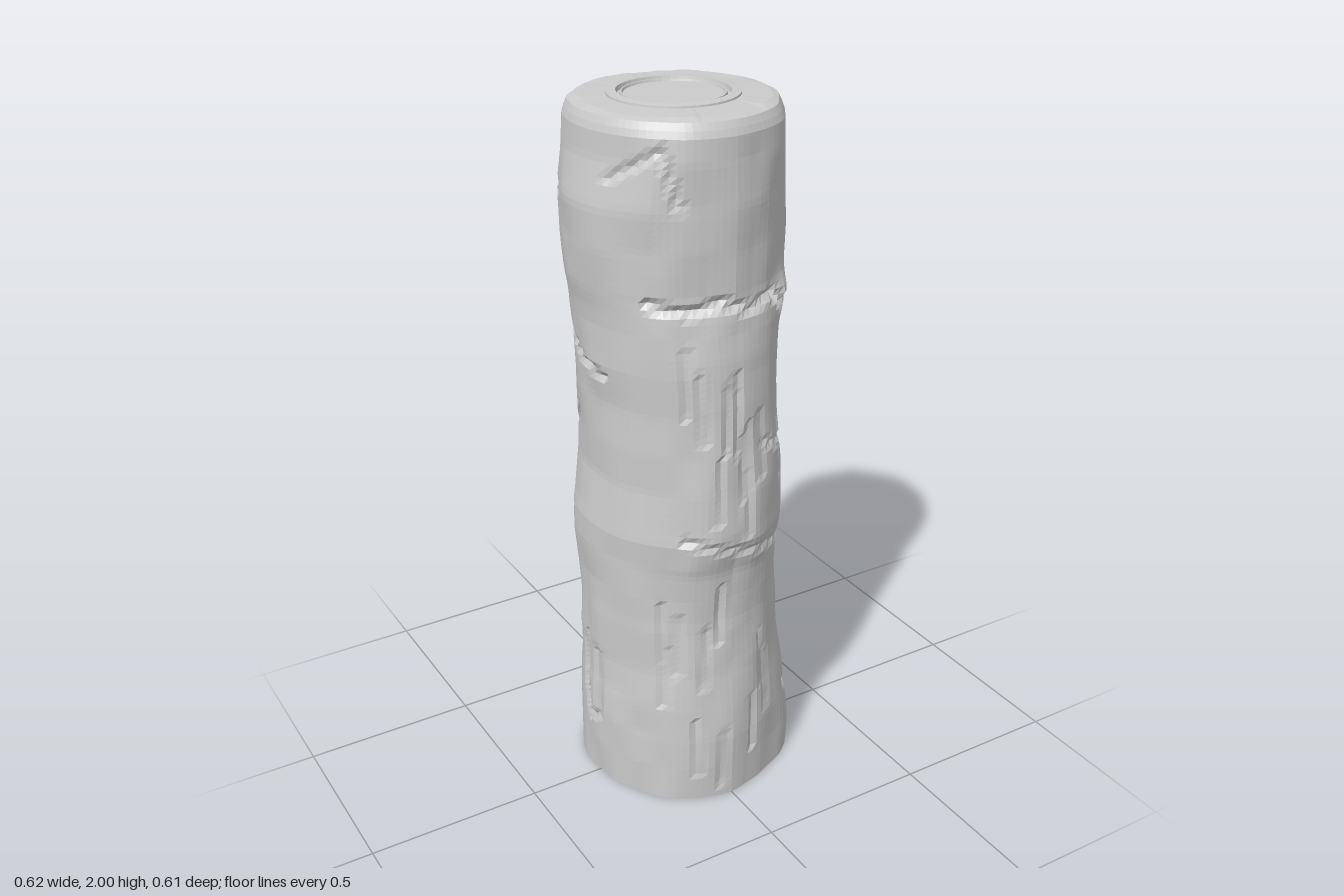
import * as THREE from 'three';

const SEG = 96, ROWS = 110, CZ = -0.033, TOP = 1.985;
const DEG = Math.PI / 180;
const grey = { color: 0xcccccc };

// Silhouette heights and the reach of the trunk to each side: [y, left, right, front, back]
const PROFILE = [
  [0.00, 0.305, 0.285, 0.290, 0.303], [0.20, 0.302, 0.285, 0.292, 0.303],
  [0.30, 0.300, 0.284, 0.287, 0.303], [0.42, 0.292, 0.275, 0.279, 0.303],
  [0.60, 0.281, 0.279, 0.275, 0.303], [0.75, 0.276, 0.287, 0.284, 0.303],
  [0.85, 0.274, 0.288, 0.308, 0.303], [1.00, 0.274, 0.267, 0.305, 0.303],
  [1.18, 0.256, 0.270, 0.300, 0.300], [1.25, 0.254, 0.272, 0.299, 0.284],
  [1.38, 0.259, 0.280, 0.292, 0.280], [1.49, 0.273, 0.288, 0.278, 0.288],
  [1.54, 0.283, 0.296, 0.264, 0.296], [1.65, 0.293, 0.306, 0.266, 0.300],
  [1.76, 0.290, 0.308, 0.270, 0.304], [1.88, 0.285, 0.290, 0.270, 0.306],
  [1.95, 0.283, 0.286, 0.266, 0.306], [2.00, 0.278, 0.284, 0.258, 0.305],
];

function reach(y) {
  let k = 0;
  while (k < PROFILE.length - 2 && PROFILE[k + 1][0] < y) k++;
  const a = PROFILE[k], b = PROFILE[k + 1];
  const t = THREE.MathUtils.clamp((y - a[0]) / (b[0] - a[0]), 0, 1);
  return a.map((v, i) => v + (b[i] - v) * t);
}

function hash(a, b, s) {
  const n = Math.sin(a * 127.1 + b * 311.7 + s * 74.7) * 43758.5453;
  return (n - Math.floor(n)) * 2 - 1;
}

// Lattice noise that wraps around the trunk
function noise(deg, y, cols, perUnit, seed) {
  const u = (deg / 360) * cols, v = y * perUnit;
  const i = Math.floor(u), j = Math.floor(v), f = u - i, g = v - j;
  const h = (p, q) => hash(((p % cols) + cols) % cols, q, seed);
  return (h(i, j) * (1 - f) + h(i + 1, j) * f) * (1 - g) + (h(i, j + 1) * (1 - f) + h(i + 1, j + 1) * f) * g;
}

// Cracks as paths of [angle, y]; angle 0 is the front, 90 the left side
const CRACKS = [
  { depth: 0.018, path: [[-45, 1.53], [-25, 1.51], [-8, 1.53], [10, 1.50], [28, 1.52], [42, 1.47], [52, 1.50]] },
  { depth: 0.016, path: [[62, 1.20], [65, 1.12], [75, 1.06], [85, 1.05]] },
  { depth: 0.014, path: [[88, 1.82], [95, 1.74], [112, 1.71], [120, 1.74], [132, 1.76]] },
  { depth: 0.016, path: [[200, 1.60], [222, 1.51], [240, 1.40], [262, 1.33], [285, 1.30]] },
  { depth: 0.018, path: [[128, 1.40], [150, 1.30], [172, 1.22], [190, 1.12], [215, 1.03], [232, 1.04], [250, 1.15]] },
  { depth: 0.012, path: [[205, 1.88], [228, 1.80], [245, 1.75]] },
  { depth: 0.012, path: [[-30, 0.87], [-5, 0.83], [20, 0.80], [48, 0.76]] },
  { depth: 0.012, path: [[20, 1.12], [35, 1.09], [55, 1.07]] },
  { depth: 0.014, path: [[55, 0.23], [65, 0.17], [78, 0.22]] },
  { depth: 0.016, path: [[262, 0.45], [258, 0.30], [266, 0.17], [276, 0.20], [275, 0.42]] },
  { depth: 0.010, path: [[-65, 1.84], [-38, 1.92], [-28, 1.78]] },
];
// Upright drying splits, mostly on the front
for (let k = 0; k < 22; k++) {
  const a = hash(k, 1, 3) * 48, y = k % 2 ? 0.38 + hash(k, 2, 3) * 0.28 : 1.15 + hash(k, 2, 3) * 0.25;
  CRACKS.push({ depth: 0.010, path: [[a, y - 0.09], [a + hash(k, 4, 3) * 2, y + 0.09]] });
}

function crackDepth(deg, y) {
  let cut = 0;
  const s = 0.29 * DEG;
  for (const { depth, path } of CRACKS) {
    for (let k = 0; k < path.length - 1; k++) {
      const [a0, y0] = path[k], [a1, y1] = path[k + 1];
      const wrap = (d) => ((d + 540) % 360 + 360) % 360 - 180;
      const px = wrap(deg - a0) * s, py = y - y0, dx = (a1 - a0) * s, dy = y1 - y0;
      const t = THREE.MathUtils.clamp((px * dx + py * dy) / (dx * dx + dy * dy), 0, 1);
      const d = Math.hypot(px - t * dx, py - t * dy);
      cut = Math.max(cut, depth * (1 - d / 0.017));
    }
  }
  return cut;
}

// Rounded swelling centred at an angle and height
const swell = (deg, y, a, h, wa, wy, size) =>
  size * Math.exp(-(((deg - a) / wa) ** 2) - Math.max(0, Math.abs(y - h) / wy) ** 2);

function barkPoint(deg, y) {
  const [, left, right, front, back] = reach(y);
  const s = Math.sin(deg * DEG), c = Math.cos(deg * DEG);
  const d = deg > 180 ? deg - 360 : deg;
  const x = s * (s > 0 ? left : right);
  const z = c * (c > 0 ? front - CZ : back + CZ);
  let out = 0.005 * noise(deg, y, 26, 9, 1) + 0.004 * noise(deg, y, 30, 2.5, 2) - 0.002;
  out += swell(d, y, 58, 0.08, 22, 0.24, 0.034);    // flared root
  out += swell(d, y, 44, 1.50, 9, 0.05, 0.018);     // knot
  out += swell(d, y, 40, 0.95, 10, 0.2, 0.008);
  out -= crackDepth(deg, y);
  if (y > TOP - 0.03) out -= (y - TOP + 0.03) * 0.4; // worn upper rim
  return [x + s * out, y, z + c * out + CZ];
}

// Closed skin: base centre, bark rows, then the top face up to the ring plate
function barkGeometry() {
  const pos = [], index = [];
  for (let r = -1; r <= ROWS + 2; r++) {
    for (let j = 0; j < SEG; j++) {
      const deg = (j / SEG) * 360, s = Math.sin(deg * DEG), c = Math.cos(deg * DEG);
      if (r < 0) pos.push(0, 0, CZ);
      else if (r <= ROWS) pos.push(...barkPoint(deg, (r / ROWS) * TOP));
      else {
        const rad = r === ROWS + 1 ? 0.245 + 0.008 * hash(j >> 2, 5, 1) : 0.17;
        pos.push(rad * s, r === ROWS + 1 ? 1.991 + 0.002 * hash(j >> 2, 6, 1) : 1.993, rad * c + CZ);
      }
    }
  }
  for (let r = 0; r < ROWS + 3; r++) {
    for (let j = 0; j < SEG; j++) {
      const a = r * SEG + j, b = r * SEG + (j + 1) % SEG;
      if (r > 0) index.push(a, b, b + SEG);
      index.push(a, b + SEG, a + SEG);
    }
  }
  const g = new THREE.BufferGeometry();
  g.setAttribute('position', new THREE.Float32BufferAttribute(pos, 3));
  g.setIndex(index);
  g.computeVertexNormals();
  return g;
}

export function createModel() {
  const group = new THREE.Group();
  group.name = 'log';

  const bark = new THREE.Mesh(barkGeometry(), new THREE.MeshStandardMaterial({ ...grey, flatShading: true }));
  bark.name = 'trunk';
  group.add(bark);

  // Raised growth rings on the sawn top
  const rings = [[0.174, 1.985], [0.172, 1.998], [0.15, 2], [0.147, 2], [0.144, 1.988],
    [0.137, 1.988], [0.135, 1.996], [0.131, 1.996], [0.129, 1.99], [0, 1.99]];
  const plate = new THREE.Mesh(
    new THREE.LatheGeometry(rings.map(([r, y]) => new THREE.Vector2(r, y)), 40),
    new THREE.MeshStandardMaterial({ ...grey, flatShading: true }));
  plate.name = 'growthRings';
  plate.position.z = CZ;
  group.add(plate);
  return group;
}
